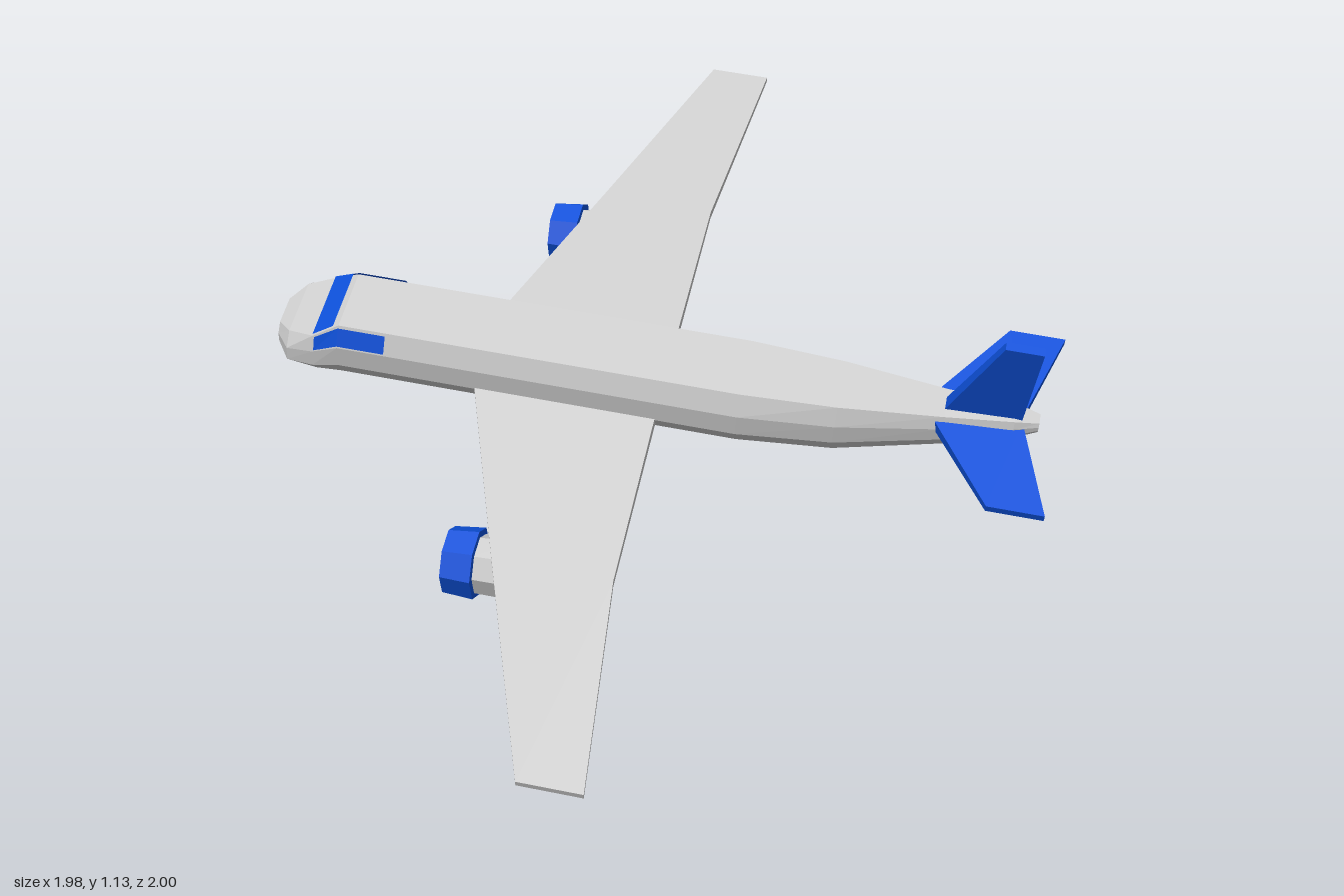
import * as THREE from 'three';

const grey = new THREE.MeshStandardMaterial({ color: 0xcccccc, flatShading: true, side: THREE.DoubleSide });
const blue = new THREE.MeshStandardMaterial({ color: 0x0d50d8, flatShading: true, side: THREE.DoubleSide });
const V = (x, y, z) => new THREE.Vector3(x, y, z);

function mesh(name, geometry, material) {
  const m = new THREE.Mesh(geometry, material);
  m.name = name;
  return m;
}

// Flat-faced geometry from a list of triangles
function fromTriangles(tris) {
  const g = new THREE.BufferGeometry().setFromPoints(tris.flat());
  g.computeVertexNormals();
  return g;
}

// Closed skin through matching rings of points, turned to face outwards
function loft(rings) {
  const tris = [], n = rings[0].length, first = rings[0], last = rings[rings.length - 1];
  for (let i = 0; i + 1 < rings.length; i++) {
    for (let j = 0; j < n; j++) {
      const k = (j + 1) % n, a = rings[i], b = rings[i + 1];
      tris.push([a[j], b[j], b[k]], [a[j], b[k], a[k]]);
    }
  }
  for (let j = 1; j + 1 < n; j++) {
    tris.push([first[0], first[j], first[j + 1]], [last[0], last[j + 1], last[j]]);
  }
  const volume = tris.reduce((s, [a, b, c]) => s + a.dot(b.clone().cross(c)), 0);
  return fromTriangles(volume < 0 ? tris.map(([a, b, c]) => [a, c, b]) : tris);
}

// Fuselage stations: x, half width, belly height, roof height, roof half width
const stations = [
  [-0.9, 0.065, -0.035, 0.04, 0.04],
  [-0.86, 0.122, -0.05, 0.062, 0.08],
  [-0.79, 0.13, -0.058, 0.082, 0.1],
  [-0.722, 0.13, -0.06, 0.125, 0.088],
  [0.3, 0.13, -0.06, 0.125, 0.088],
  [0.54, 0.108, -0.05, 0.123, 0.075],
  [0.8, 0.064, 0.005, 0.12, 0.045],
  [0.97, 0.042, 0.06, 0.128, 0.03],
  [1.03, 0.022, 0.085, 0.12, 0.015],
];

// Left half of the cross-section, belly to roof
function halfSection([x, w, lo, hi, roof]) {
  const at = (z, v) => V(x, lo + (hi - lo) * v, z);
  return [at(w * 0.35, 0), at(w * 0.82, 0.16), at(w, 0.43), at(w * 0.93, 0.73), at(roof, 1)];
}
const mirrorZ = p => V(p.x, p.y, -p.z);

// Half section at any x, between stations
function sectionAt(x) {
  const i = stations.findIndex((s, k) => x <= stations[k + 1][0]);
  const a = stations[i], b = stations[i + 1], t = (x - a[0]) / (b[0] - a[0]);
  return halfSection(a.map((v, k) => v + (b[k] - v) * t));
}

function fuselage() {
  return mesh('fuselage', loft(stations.map(s => {
    const half = halfSection(s);
    return [...half, ...half.map(mirrorZ).reverse()];
  })), grey);
}

function cockpitWindows() {
  const g = new THREE.Group();
  g.name = 'cockpitWindows';
  const quad = (a, b, c, d) => [[a, b, c], [a, c, d]];
  // Windshield across the sloped front of the roof
  const lift = p => p.add(V(-0.003, 0.004, 0));
  const low = lift(sectionAt(-0.787)[4]), high = lift(sectionAt(-0.733)[4]);
  g.add(mesh('windshield', fromTriangles(quad(low, mirrorZ(low), mirrorZ(high), high)), blue));
  // Side windows follow the upper side facet
  const strip = [-0.785, -0.722, -0.6].map(x => {
    const s = sectionAt(x);
    return [0.1, 0.9].map(t => s[3].clone().lerp(s[4], t).add(V(0, 0.002, 0.004)));
  });
  for (const side of [1, -1]) {
    const pts = strip.map(r => r.map(p => (side > 0 ? p : mirrorZ(p))));
    const tris = [0, 1].flatMap(i => side > 0
      ? quad(pts[i][0], pts[i + 1][0], pts[i + 1][1], pts[i][1])
      : quad(pts[i][1], pts[i + 1][1], pts[i + 1][0], pts[i][0]));
    g.add(mesh(side > 0 ? 'leftWindow' : 'rightWindow', fromTriangles(tris), blue));
  }
  return g;
}

// Wing-like slab; sections are [span, leading x, trailing x, bottom y, top y]
const slab = (sections, side) => loft(sections.map(([z, lead, trail, lo, hi]) => [
  V(lead, lo, z * side), V(trail, lo, z * side), V(trail, hi, z * side), V(lead, hi, z * side)]));

const wingSections = [
  [0.03, -0.4, 0.096, -0.012, 0.026],
  [0.61, -0.198, 0.098, -0.018, 0.006],
  [1.17, 0, 0.155, -0.016, 0],
];
const tailplaneSections = [
  [0.01, 0.75, 0.99, 0.078, 0.108],
  [0.28, 0.93, 1.07, 0.088, 0.106],
];

// Tail fin: a slab swept up from the spine
function tailFin() {
  const ring = ([y, lead, trail, t]) => [V(lead, y, -t), V(trail, y, -t), V(trail, y, t), V(lead, y, t)];
  return mesh('tailFin', loft([[0.09, 0.785, 0.985, 0.02], [0.367, 0.912, 1.005, 0.012]].map(ring)), blue);
}

// Eight-sided turned part along the x axis; profile is [radius, x]
function turned(profile) {
  const g = new THREE.LatheGeometry(profile.map(([r, x]) => new THREE.Vector2(r, x)), 8, Math.PI / 8);
  return g.rotateZ(-Math.PI / 2);
}

function engine(side) {
  const g = new THREE.Group();
  g.name = side > 0 ? 'leftEngine' : 'rightEngine';
  const pod = new THREE.Group();
  pod.name = 'pod';
  pod.position.set(-0.282, -0.11, 0.556 * side);
  pod.rotation.z = 0.06;
  pod.add(
    mesh('cowl', turned([[0.068, -0.042], [0.083, -0.042], [0.09, 0.035], [0.07, 0.037]]), blue),
    mesh('nacelle', turned([[0.074, 0.03], [0.077, 0.13], [0.058, 0.23], [0.027, 0.335], [0, 0.335]]), grey),
    mesh('intake', turned([[0, -0.01], [0.022, 0.03], [0.055, 0.04], [0.068, -0.042]]), grey),
  );
  // Pylon between the nacelle and the underside of the wing
  const z = 0.556 * side, t = 0.011;
  const ring = (y, a, b) => [V(a, y, z - t), V(b, y, z - t), V(b, y, z + t), V(a, y, z + t)];
  g.add(pod, mesh('pylon', loft([ring(-0.06, -0.22, -0.04), ring(-0.006, -0.19, 0.02)]), grey));
  return g;
}

export function createModel() {
  const plane = new THREE.Group();
  plane.name = 'airliner';
  plane.add(fuselage(), cockpitWindows(), tailFin());
  for (const side of [1, -1]) {
    const word = side > 0 ? 'left' : 'right';
    plane.add(
      mesh(word + 'Wing', slab(wingSections, side), grey),
      mesh(word + 'Tailplane', slab(tailplaneSections, side), blue),
      engine(side),
    );
  }
  // Banked, nose-up flying attitude: axes run aft, up and to the left wing
  const attitude = new THREE.Matrix4().makeBasis(
    V(0.957, -0.115, 0.268), V(-0.03, 0.8755, 0.484), V(-0.292, -0.471, 0.833));
  plane.quaternion.setFromRotationMatrix(attitude).normalize();
  plane.position.set(-0.1175, 0.5825, -0.0225);

  const model = new THREE.Group();
  model.name = 'aircraft';
  model.add(plane);
  return model;
}
